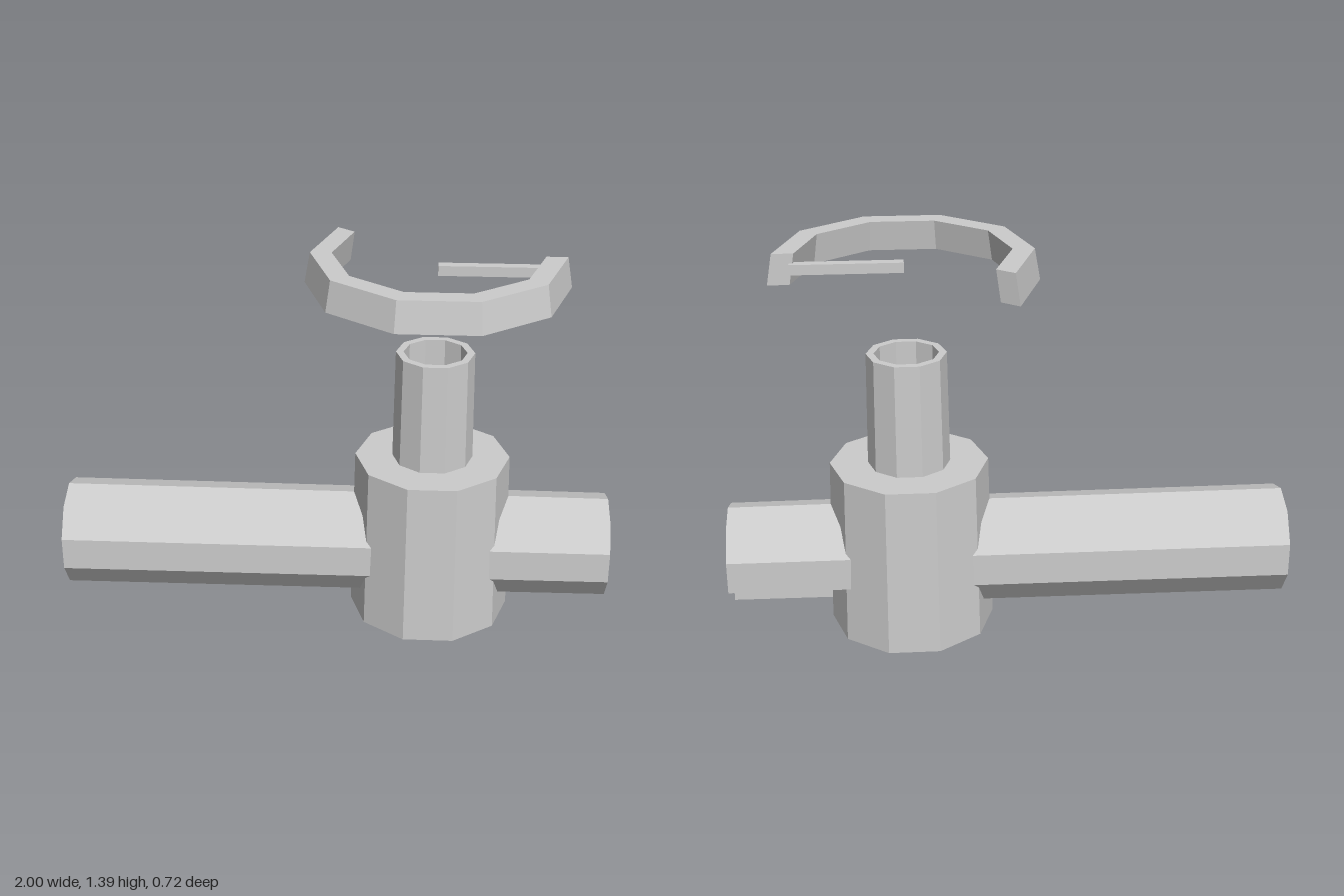
import * as THREE from 'three';

const rad = THREE.MathUtils.degToRad;
const SIDE = 36; // degrees per side of a ten-sided ring

export function createModel() {
  const grey = new THREE.MeshStandardMaterial({ color: 0xcccccc, flatShading: true, side: THREE.DoubleSide });
  grey.name = 'lightGrey';
  const model = new THREE.Group();
  const cx = 0.35, cz = -0.08, pipeY = 0.267;

  // Hollow ten-sided ring around y, from profile [outer, inner] radii at y0 and y1; open arcs get end caps
  function ring(name, y0, [out0, in0], y1, [out1, in1], startDeg = 90, sides = 10) {
    const group = new THREE.Group();
    group.name = name;
    const corners = [[out0, y0], [out1, y1], [in1, y1], [in0, y0]].map(p => new THREE.Vector2(...p));
    const wall = new THREE.LatheGeometry([...corners, corners[0].clone()], sides, rad(startDeg), rad(sides * SIDE));
    group.add(new THREE.Mesh(wall, grey));
    if (sides < 10) {
      for (const angle of [startDeg, startDeg + sides * SIDE]) {
        const cap = new THREE.ShapeGeometry(new THREE.Shape(corners));
        cap.rotateY(rad(angle - 90));
        group.add(new THREE.Mesh(cap, grey));
      }
    }
    model.add(group);
    return group;
  }

  // Solid ten-sided body
  const body = new THREE.Mesh(new THREE.CylinderGeometry(0.281, 0.295, 0.62, 10, 1, false, rad(90)), grey);
  body.name = 'body';
  body.position.set(cx, 0.31, cz);
  model.add(body);

  // Hollow neck on top
  ring('neck', 0.61, [0.146, 0.118], 1.03, [0.14, 0.113]).position.set(cx, 0, cz);

  // Side pipes: a long closed one, and a short one with two sides missing underneath
  const longPipe = ring('longPipe', -1, [0.196, 0.158], 0.25, [0.192, 0.155]);
  const shortPipe = ring('shortPipe', 0.45, [0.192, 0.155], 1, [0.189, 0.153], 162, 8);
  for (const pipe of [longPipe, shortPipe]) {
    pipe.rotation.z = -Math.PI / 2;
    pipe.position.set(0, pipeY, cz);
  }

  // Floating open ring above the neck
  ring('openRing', 1.285, [0.461, 0.385], 1.395, [0.442, 0.367], -126, 6).position.set(cx, 0, cz);

  // Thin bar from the ring's end to its centre
  const bar = new THREE.Mesh(new THREE.BoxGeometry(0.385, 0.036, 0.034), grey);
  bar.name = 'pointerBar';
  bar.position.set(0.5425, 1.342, cz);
  model.add(bar);

  return model;
}
